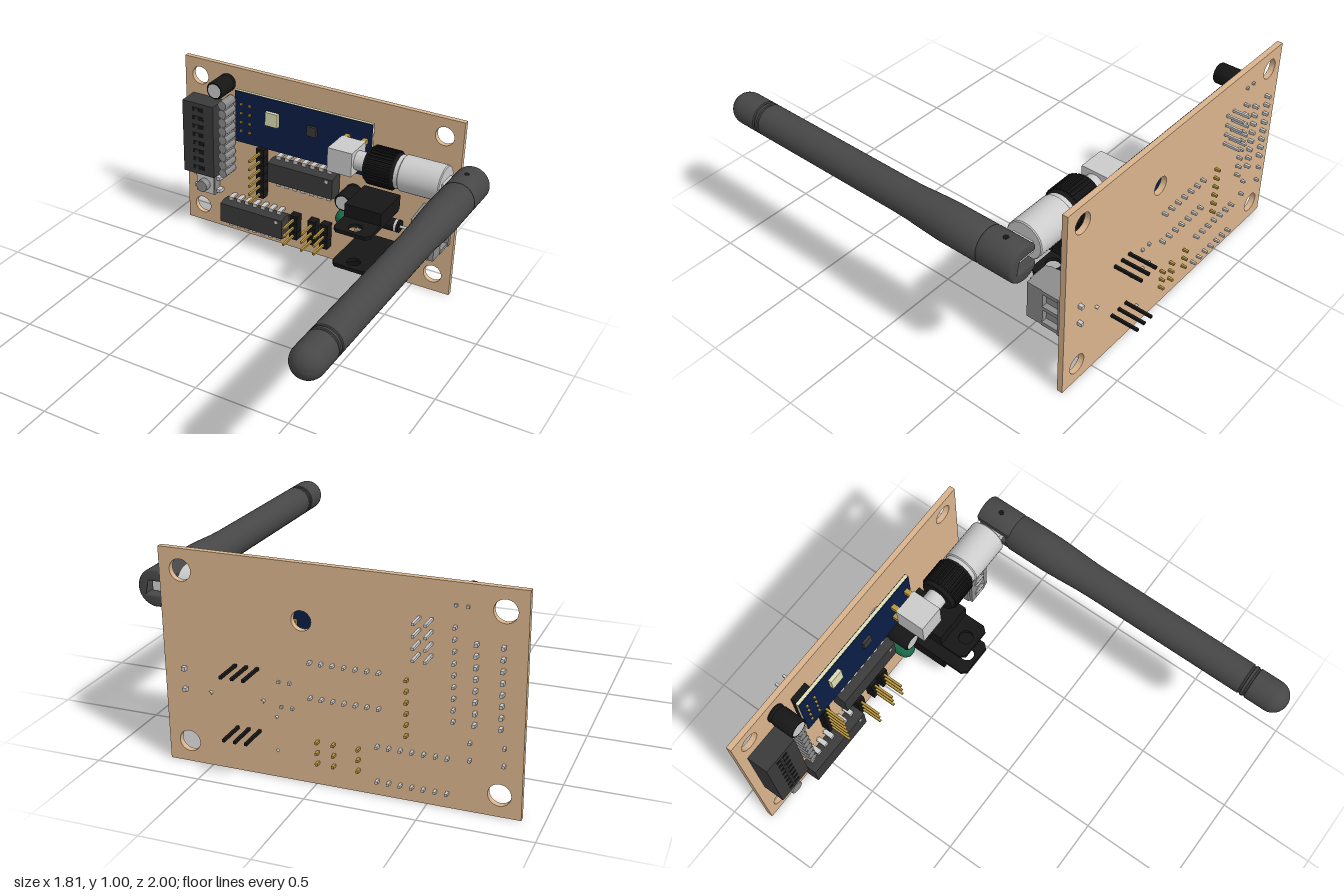
import * as THREE from 'three';
import { toCreasedNormals } from 'three/addons/utils/BufferGeometryUtils.js';

const C = { board: 0xd9b48c, blue: 0x0b1d45, cream: 0xdfdfb4, dark: 0x3a3a3a, black: 0x161616,
  rubber: 0x474747, silver: 0xbcbcbc, grey: 0x8c8c8c, gold: 0xb8963e, green: 0x1c6a4a, tan: 0xc9a878 };
const FACE = -0.83; // front surface of the circuit board
const mats = {};
const mat = c => (mats[c] ??= new THREE.MeshStandardMaterial({ color: c }));

function add(parent, name, color, geo) {
  const m = new THREE.Mesh(geo, mat(color));
  m.name = name;
  parent.add(m);
  return m;
}
function sub(parent, name) {
  const g = new THREE.Group();
  g.name = name;
  parent.add(g);
  return g;
}
// box from its limits
function box(p, name, color, x0, x1, y0, y1, z0, z1) {
  return add(p, name, color, new THREE.BoxGeometry(x1 - x0, y1 - y0, z1 - z0)
    .translate((x0 + x1) / 2, (y0 + y1) / 2, (z0 + z1) / 2));
}
// turned part: profile of [radius, height], axis 'x', 'y' or 'z', placed at an origin
function turned(p, name, color, profile, axis, x, y, z, seg = 28) {
  let g = new THREE.LatheGeometry(profile.map(a => new THREE.Vector2(...a)), seg);
  if (axis === 'x') g.rotateZ(-Math.PI / 2);
  if (axis === 'z') g.rotateX(Math.PI / 2);
  return add(p, name, color, toCreasedNormals(g, 0.6).translate(x, y, z));
}
const rod = (p, name, color, r, len, axis, x, y, z, seg) =>
  turned(p, name, color, [[0, 0], [r, 0], [r, len], [0, len]], axis, x, y, z, seg);
const pin = (p, color, x, y, z0, z1, w = 0.012) =>
  box(p, 'pin', color, x - w / 2, x + w / 2, y - w / 2, y + w / 2, z0, z1);
function extrude(shape, depth, bevel = 0) {
  return toCreasedNormals(new THREE.ExtrudeGeometry(shape, { depth, curveSegments: 20, bevelEnabled: bevel > 0,
    bevelSize: bevel, bevelThickness: bevel, bevelOffset: -bevel, bevelSegments: 3 }), 0.6);
}
function polygon(pts, holes = []) {
  const s = new THREE.Shape(pts.map(a => new THREE.Vector2(...a)));
  for (const [x, y, r] of holes) s.holes.push(new THREE.Path().absarc(x, y, r, 0, Math.PI * 2, true));
  return s;
}

// dual in-line chip with seven legs on each long side
function chip(root, x0, x1, y0, y1) {
  const g = sub(root, 'chip');
  const yc = (y0 + y1) / 2, h = (y1 - y0) / 2;
  const end = polygon([[-h + 0.008, -0.815], [h - 0.008, -0.815], [h, -0.775], [h - 0.012, -0.73], [-h + 0.012, -0.73], [-h, -0.775]]);
  // profile in y,z swept along x
  const body = extrude(end, x1 - x0);
  body.applyMatrix4(new THREE.Matrix4().set(0, 0, 1, x0, 1, 0, 0, yc, 0, 1, 0, 0, 0, 0, 0, 1));
  add(g, 'chipBody', C.dark, body);
  rod(g, 'indexDot', C.silver, 0.01, 0.003, 'z', x1 - 0.035, y1 - 0.028, -0.731, 12);
  for (let i = 0; i < 7; i++) for (const s of [-1, 1]) {
    const x = (x0 + x1) / 2 + (i - 3) * 0.051, y = yc + s * (h + 0.013);
    box(g, 'legShoulder', C.silver, x - 0.013, x + 0.013, y - 0.015, y + 0.006, -0.782, -0.772);
    box(g, 'legBlade', C.silver, x - 0.013, x + 0.013, y - 0.004, y + 0.006, -0.825, -0.775);
    pin(g, C.silver, x, y, -0.885, -0.82);
  }
}

// single-row pin header
function header(root, x, y0, y1, n) {
  const g = sub(root, 'pinHeader'), step = (y1 - y0) / n;
  for (let i = 0; i < n; i++) {
    const y = y0 + (i + 0.5) * step;
    box(g, 'headerBlock', C.black, x - 0.024, x + 0.024, y - step * 0.48, y + step * 0.48, FACE, -0.782);
    pin(g, C.gold, x, y, -0.885, -0.67);
  }
  box(g, 'headerSpine', C.black, x - 0.017, x + 0.017, y0 + 0.004, y1 - 0.004, FACE, -0.785);
}

function capacitor(root, x, y) {
  const g = sub(root, 'capacitor');
  turned(g, 'can', C.black, [[0, 0], [0.047, 0], [0.05, 0.008], [0.046, 0.02], [0.05, 0.03], [0.05, 0.132], [0.045, 0.14], [0.038, 0.14], [0.038, 0.13]], 'z', x, y, FACE);
  rod(g, 'canTop', C.silver, 0.039, 0.01, 'z', x, y, -0.7);
  for (const s of [-1, 1]) pin(g, C.silver, x + s * 0.025, y, -0.87, FACE);
}

// upright regulator: mirrored bodies share this, 'dir' is the side the body bulges to
function regulator(root, yTab, dir) {
  const g = sub(root, 'regulator'), x = 0.315;
  const tab = polygon([[0.213, -0.78], [0.417, -0.78], [0.417, -0.455], [0.395, -0.43], [0.235, -0.43], [0.213, -0.455]], [[x, -0.49, 0.036]]);
  const t = extrude(tab, 0.02).rotateX(Math.PI / 2); // (x, z) outline laid flat
  add(g, 'coolingTab', C.black, t.translate(0, yTab + 0.01, 0));
  box(g, 'regulatorBody', C.black, 0.213, 0.417, Math.min(yTab, yTab + dir * 0.08), Math.max(yTab, yTab + dir * 0.08), -0.79, -0.565);
  for (const dx of [-0.052, 0, 0.052]) {
    pin(g, C.black, x + dx, yTab + 0.045 * dir, -1, -0.78, 0.013);
    box(g, 'wideLeg', C.black, x + dx - 0.014, x + dx + 0.014, yTab + 0.045 * dir - 0.007, yTab + 0.045 * dir + 0.007, FACE, -0.78);
  }
}

// bent wire between two board points
function lead(g, a, b, z, r) {
  const v = (p, zz) => new THREE.Vector3(p[0], p[1], zz), path = new THREE.CurvePath();
  const k = 0.02, d = v(b, 0).sub(v(a, 0)).normalize().multiplyScalar(k);
  const a2 = v(a, z).add(d), b2 = v(b, z).sub(d);
  path.add(new THREE.LineCurve3(v(a, -0.875), v(a, z - k)));
  path.add(new THREE.QuadraticBezierCurve3(v(a, z - k), v(a, z), a2));
  path.add(new THREE.LineCurve3(a2, b2));
  path.add(new THREE.QuadraticBezierCurve3(b2, v(b, z), v(b, z - k)));
  path.add(new THREE.LineCurve3(v(b, z - k), v(b, -0.875)));
  add(g, 'lead', C.silver, new THREE.TubeGeometry(path, 60, r, 8));
}

export function createModel() {
  const root = new THREE.Group();
  root.name = 'radioBoard';

  // circuit board
  const holes = [[-0.81, 0.1, 0.05], [-0.81, 0.9, 0.05], [0.61, 0.1, 0.05], [0.61, 0.9, 0.05], [0.056, 0.745, 0.045]];
  add(root, 'circuitBoard', C.board, extrude(polygon([[-0.905, 0], [0.71, 0], [0.71, 0.997], [-0.905, 0.997]], holes), 0.028).translate(0, 0, -0.858));

  chip(root, -0.33, 0.057, 0.42, 0.555);
  chip(root, -0.632, -0.24, 0.083, 0.22);
  header(root, -0.41, 0.28, 0.58, 6);
  for (const x of [-0.197, -0.085, -0.01]) header(root, x, 0.08, 0.23, 3);
  capacitor(root, -0.635, 0.902);
  capacitor(root, 0.14, 0.455);
  regulator(root, 0.455, 1);
  regulator(root, 0.253, -1);

  // radio module on its double-row socket
  const radio = sub(root, 'radioModule');
  box(radio, 'moduleCore', C.cream, -0.55, 0.255, 0.604, 0.902, -0.779, -0.764);
  box(radio, 'moduleFace', C.blue, -0.549, 0.254, 0.605, 0.901, -0.782, -0.761);
  box(radio, 'crystal', C.cream, -0.357, -0.283, 0.752, 0.828, -0.762, -0.742);
  box(radio, 'radioChip', C.dark, -0.113, -0.058, 0.752, 0.806, -0.762, -0.748);
  box(radio, 'moduleSocket', C.black, -0.535, -0.435, 0.645, 0.855, FACE, -0.782);
  for (const x of [-0.511, -0.459]) for (let i = 0; i < 4; i++) {
    pin(radio, C.silver, x, 0.674 + i * 0.052, -0.943, FACE);
    pin(radio, C.gold, x, 0.674 + i * 0.052, -0.79, -0.752);
  }

  // coaxial connector
  const coax = sub(root, 'coaxConnector'), cy = 0.755, cz = -0.64;
  box(coax, 'elbowBlock', C.silver, 0.103, 0.238, 0.69, 0.82, -0.725, -0.57);
  for (const x of [0.12, 0.22]) for (const y of [0.705, 0.805]) pin(coax, C.gold, x, y, -0.8, -0.72, 0.025);
  rod(coax, 'threadedNeck', C.silver, 0.05, 0.09, 'x', 0.225, cy, cz);
  turned(coax, 'gripRing', C.black, [[0, 0], [0.085, 0], [0.092, 0.012], [0.092, 0.155], [0.085, 0.168], [0, 0.168]], 'x', 0.303, cy, cz, 36);
  for (let i = 0; i < 32; i++) {
    const ridge = new THREE.BoxGeometry(0.13, 0.012, 0.01).translate(0, 0.094, 0).rotateX(i / 32 * Math.PI * 2);
    add(coax, 'gripRidge', C.black, ridge.translate(0.387, cy, cz));
  }
  turned(coax, 'connectorSleeve', C.silver, [[0, 0], [0.086, 0], [0.086, 0.02], [0.092, 0.025], [0.092, 0.235], [0.088, 0.24], [0, 0.24]], 'x', 0.47, cy, cz, 36);
  box(coax, 'hingeTab', C.silver, 0.7, 0.85, 0.724, 0.778, -0.69, -0.585);

  // antenna with forked hinge end
  const ant = sub(root, 'antenna'), ax = 0.812, ay = 0.75;
  const dome = [...Array(9)].map((_, i) => [0.078 * Math.cos(i * Math.PI / 16), 0.922 + 0.076 * Math.sin(i * Math.PI / 16)]);
  dome[8][0] = 0;
  turned(ant, 'antennaBody', C.rubber, [[0, -0.555], [0.076, -0.555], [0.09, -0.53], [0.09, -0.33], [0.086, -0.24], [0.08, -0.14], [0.078, -0.05],
    [0.078, 0.775], [0.073, 0.778], [0.073, 0.785], [0.078, 0.788], [0.078, 0.8], [0.073, 0.803], [0.073, 0.81], [0.078, 0.813], ...dome], 'z', ax, ay, 0, 40);
  const a = Math.acos(0.072 / 0.09), fork = new THREE.Shape();
  fork.absarc(0, 0, 0.09, -(Math.PI - a), Math.PI - a, false);
  for (const p of [[-0.072, 0.029], [0.05, 0.029], [0.05, -0.029], [-0.072, -0.029]]) fork.lineTo(...p);
  add(ant, 'hingeFork', C.rubber, extrude(fork, 0.165, 0.014).translate(ax, ay, -0.716));
  rod(ant, 'hingePin', C.black, 0.014, 0.18, 'y', ax, ay - 0.09, -0.633, 16);

  // eight-way switch block
  const sw = sub(root, 'switchBlock');
  box(sw, 'switchHousing', C.dark, -0.857, -0.663, 0.363, 0.79, FACE, -0.717);
  for (let i = 0; i < 8; i++) {
    const y = 0.403 + i * 0.05;
    box(sw, 'switchSlot', C.black, -0.795, -0.725, y - 0.012, y + 0.012, -0.72, -0.7155);
    box(sw, 'switchSlider', C.dark, -0.775, -0.755, y - 0.011, y + 0.011, -0.72, -0.711);
    for (const x of [-0.81, -0.7]) pin(sw, C.silver, x, y, -0.885, FACE, 0.015);
  }

  // resistor network: a row of bulges on a thin strip
  const net = sub(root, 'resistorNetwork');
  box(net, 'networkStrip', C.grey, -0.624, -0.596, 0.39, 0.82, -0.82, -0.725);
  for (let i = 0; i < 9; i++) {
    const y = 0.403 + i * 0.051;
    rod(net, 'networkBulge', C.grey, 0.025, 0.1, 'z', -0.61, y, -0.822, 16);
    pin(net, C.silver, -0.61, y, -0.885, -0.82);
  }

  // push button
  const btn = sub(root, 'pushButton');
  box(btn, 'buttonBase', C.grey, -0.815, -0.695, 0.22, 0.337, FACE, -0.775);
  box(btn, 'buttonPlate', C.silver, -0.81, -0.7, 0.225, 0.332, -0.776, -0.768);
  rod(btn, 'plunger', C.grey, 0.034, 0.04, 'z', -0.755, 0.279, -0.77);
  for (const x of [-0.827, -0.683]) for (const y of [0.24, 0.318]) {
    box(btn, 'buttonLeg', C.silver, x - 0.012, x + 0.012, y - 0.01, y + 0.01, -0.835, -0.79);
    pin(btn, C.silver, x, y, -0.88, FACE);
  }

  // green lamp
  const lamp = sub(root, 'lamp');
  turned(lamp, 'lampDome', C.green, [[0, 0], [0.055, 0], [0.055, 0.02], [0.047, 0.02], [0.047, 0.09], [0.041, 0.115], [0.026, 0.132], [0, 0.14]], 'z', 0.13, 0.34, FACE);
  for (const s of [-1, 1]) pin(lamp, C.silver, 0.13 + s * 0.025, 0.34, -0.87, FACE);

  // diode and small resistor
  const diode = sub(root, 'diode');
  lead(diode, [0.24, 0.355], [0.49, 0.355], -0.785, 0.008);
  rod(diode, 'diodeBody', C.black, 0.034, 0.13, 'x', 0.3, 0.355, -0.785);
  rod(diode, 'diodeBand', C.silver, 0.0345, 0.012, 'x', 0.405, 0.355, -0.785);
  const res = sub(root, 'resistor');
  lead(res, [0.178, 0.13], [0.178, 0.29], -0.805, 0.006);
  turned(res, 'resistorBody', C.tan, [[0, 0], [0.014, 0.003], [0.018, 0.012], [0.014, 0.025], [0.014, 0.067], [0.018, 0.08], [0.014, 0.089], [0, 0.092]], 'y', 0.178, 0.162, -0.805, 16);

  // screw terminal: stepped outline in x,z, with wire openings on the outer side
  const term = sub(root, 'screwTerminal');
  box(term, 'terminalCore', C.grey, 0.55, 0.655, 0.305, 0.503, FACE, -0.63);
  add(term, 'terminalBack', C.grey, extrude(polygon([[0.53, FACE], [0.56, FACE], [0.56, -0.64], [0.542, -0.65]]), 0.198).rotateX(Math.PI / 2).translate(0, 0.503, 0));
  box(term, 'terminalFoot', C.grey, 0.65, 0.69, 0.305, 0.503, FACE, -0.805);
  box(term, 'terminalLintel', C.grey, 0.65, 0.682, 0.305, 0.503, -0.72, -0.635);
  for (const y of [0.305, 0.395, 0.484]) box(term, 'terminalWall', C.grey, 0.65, 0.685, y, y + 0.019, -0.81, -0.715);
  for (const y of [0.355, 0.453]) {
    rod(term, 'screwHead', C.silver, 0.036, 0.012, 'z', 0.612, y, -0.637);
    box(term, 'screwSlot', C.dark, 0.58, 0.644, y - 0.004, y + 0.004, -0.63, -0.6245);
    pin(term, C.silver, 0.612, y, -0.88, FACE, 0.018);
  }
  return root;
}
